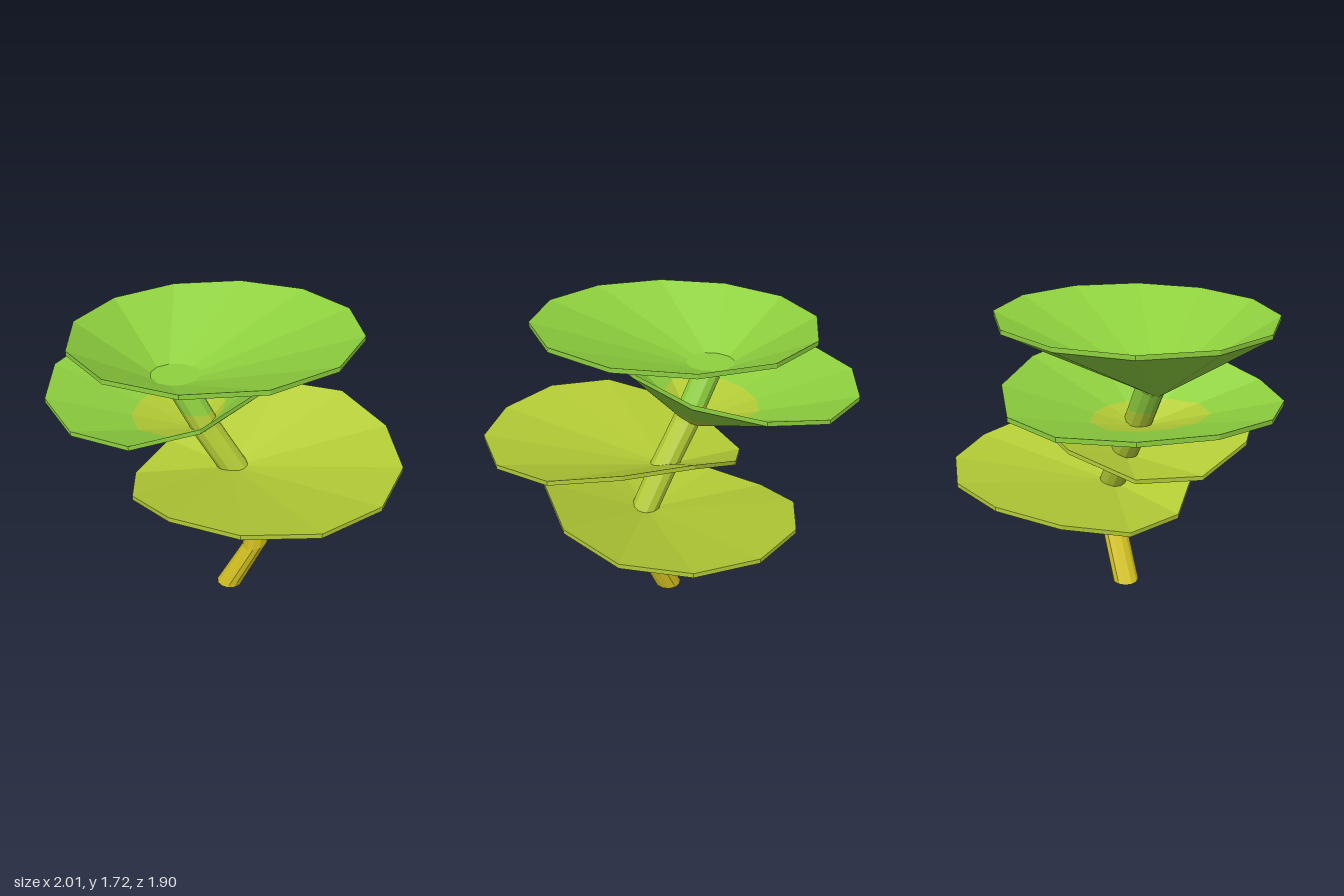
import * as THREE from 'three';

const N = 12;
const mat = (name, color) => {
  const m = new THREE.MeshStandardMaterial({ color, flatShading: true });
  m.name = name;
  return m;
};

// Keep the part of a polygon on one side of a height (s = 1 above, -1 below)
function clip(poly, h, s) {
  const out = [];
  poly.forEach((p, i) => {
    const q = poly[(i + 1) % poly.length];
    const dp = (p.y - h) * s, dq = (q.y - h) * s;
    if (dp >= 0) out.push(p);
    if (dp * dq < 0) out.push(p.clone().lerp(q, dp / (dp - dq)));
  });
  return out;
}

// Cut triangles into height bands, one material group per band
function bandedMesh(name, tris, mats) {
  const limits = [-1, 0.61, 1.2, 9];
  const pos = [];
  const geo = new THREE.BufferGeometry();
  mats.forEach((m, b) => {
    const start = pos.length / 3;
    tris.forEach((t) => {
      const poly = clip(clip(t, limits[b], 1), limits[b + 1], -1);
      for (let i = 1; i + 1 < poly.length; i++) {
        [poly[0], poly[i], poly[i + 1]].forEach((p) => pos.push(p.x, p.y, p.z));
      }
    });
    const count = pos.length / 3 - start;
    if (count) geo.addGroup(start, count, b);
  });
  geo.setAttribute('position', new THREE.Float32BufferAttribute(pos, 3));
  geo.computeVertexNormals();
  const mesh = new THREE.Mesh(geo, mats);
  mesh.name = name;
  return mesh;
}

// Warped funnel: rim heights at 12 angles, running down to an off-centre tip
function canopyTriangles({ c, r, tip, rim }) {
  const top = rim.map((y, i) => {
    const a = (i / N) * Math.PI * 2;
    return new THREE.Vector3(c[0] + r[0] * Math.cos(a), y, c[1] + r[1] * Math.sin(a));
  });
  const low = top.map((p) => p.clone().setY(p.y - 0.025));
  const outer = new THREE.Vector3(...tip);
  const inner = outer.clone().setY(tip[1] + 0.035);
  const tris = [];
  for (let i = 0; i < N; i++) {
    const j = (i + 1) % N;
    tris.push(
      [inner, top[j], top[i]],
      [outer, low[i], low[j]],
      [top[i], top[j], low[j]],
      [top[i], low[j], low[i]],
    );
  }
  return tris;
}

// Bent trunk from tilted rings: x, y, tilt
function trunkTriangles() {
  const path = [
    [0.05, 0, 0], [0.205, 0.325, 0.25], [0.235, 0.58, 0.25],
    [0.08, 0.84, 0.52], [-0.08, 1.08, 0.56], [-0.24, 1.36, 0.56],
  ];
  const rings = path.map(([x, y, tilt]) => Array.from({ length: N }, (_, i) => {
    const a = (i / N) * Math.PI * 2;
    const u = 0.08 * Math.cos(a);
    return new THREE.Vector3(x + u * Math.cos(tilt), y + u * Math.sin(tilt), 0.02 + 0.08 * Math.sin(a));
  }));
  const centre = (k) => new THREE.Vector3(path[k][0], path[k][1], 0.02);
  const last = path.length - 1;
  const tris = [];
  for (let i = 0; i < N; i++) {
    const j = (i + 1) % N;
    for (let k = 0; k < last; k++) {
      const a = rings[k], b = rings[k + 1];
      tris.push([b[i], b[j], a[j]], [b[i], a[j], a[i]]);
    }
    tris.push([centre(0), rings[0][i], rings[0][j]]);
    tris.push([centre(last), rings[last][j], rings[last][i]]);
  }
  return tris;
}

export function createModel() {
  const group = new THREE.Group();
  group.name = 'tree';
  const mats = [mat('yellow', 0xd6c422), mat('yellowGreen', 0xb4cc36), mat('leafGreen', 0x8fd13f)];

  group.add(bandedMesh('trunk', trunkTriangles(), mats));

  // Canopies from lowest to highest; c and r are x, z
  const canopies = [
    { name: 'lowestCanopy', c: [0.205, -0.235], r: [0.675, 0.715], tip: [0.21, 0.575, 0.02],
      rim: [0.88, 0.95, 0.98, 0.89, 0.74, 0.625, 0.645, 0.74, 0.8, 0.82, 0.83, 0.84] },
    { name: 'lowerCanopy', c: [0.27, 0.22], r: [0.73, 0.73], tip: [0.06, 0.82, 0.02],
      rim: [1.085, 1.075, 1.07, 1.08, 1.06, 0.97, 0.87, 0.89, 1.02, 1.165, 1.185, 1.125] },
    { name: 'upperCanopy', c: [-0.335, -0.08], r: [0.67, 0.75], tip: [-0.12, 1.05, 0.02],
      rim: [1.525, 1.49, 1.395, 1.32, 1.31, 1.335, 1.36, 1.365, 1.355, 1.36, 1.41, 1.465] },
    { name: 'topCanopy', c: [-0.035, 0.045], r: [0.775, 0.775], tip: [-0.305, 1.31, 0.02],
      rim: Array.from({ length: N }, (_, i) => 1.703 + 0.02 * Math.cos((i / N) * Math.PI * 2)) },
  ];
  canopies.forEach((k) => group.add(bandedMesh(k.name, canopyTriangles(k), mats)));

  // Flat floor inside the top funnel
  const floor = new THREE.Mesh(new THREE.CircleGeometry(0.15, N), mats[2]);
  floor.name = 'topCanopyFloor';
  floor.rotation.x = -Math.PI / 2;
  floor.position.set(-0.25, 1.41, 0.02);
  group.add(floor);

  return group;
}
